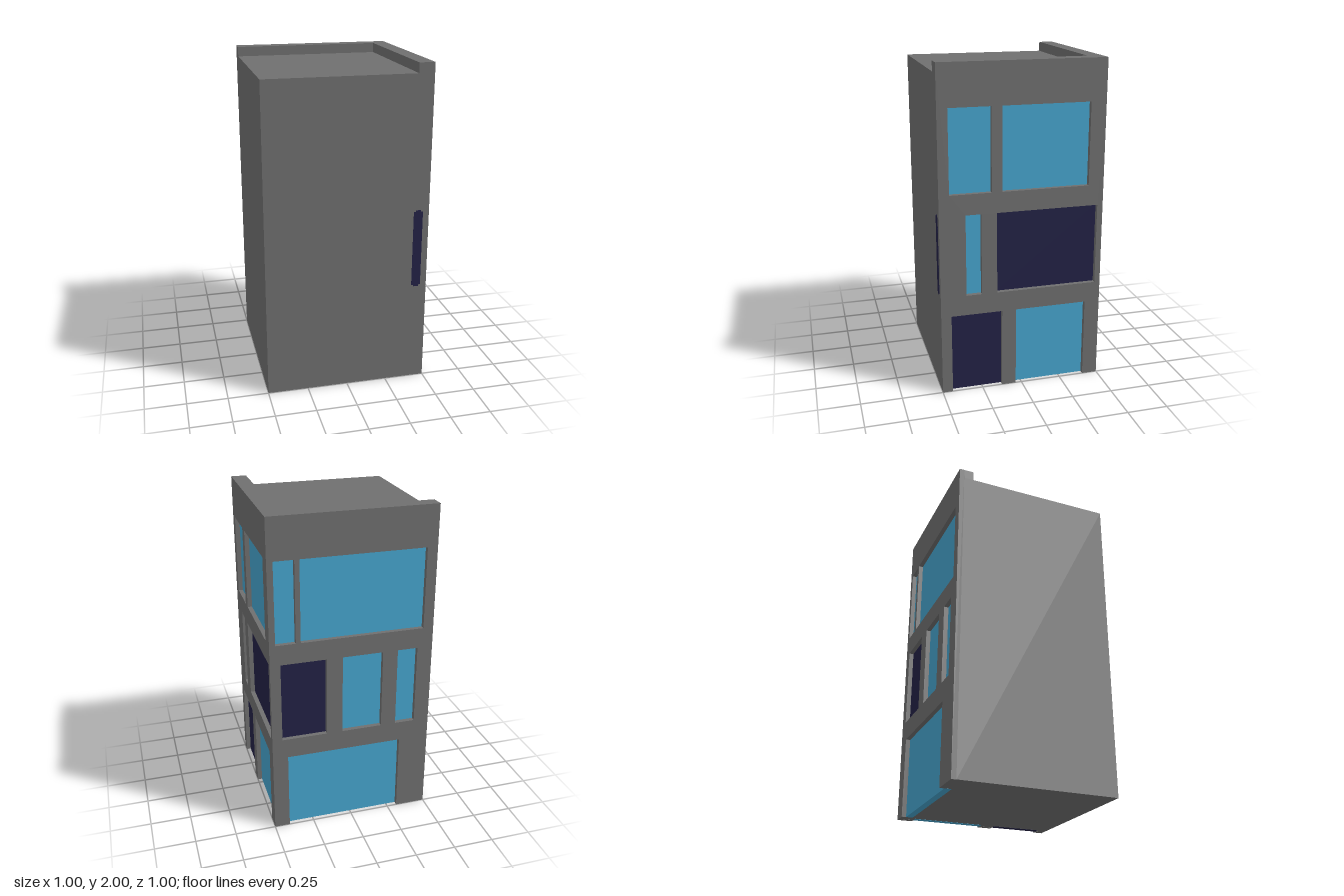
import * as THREE from 'three';

const RECESS = 0.03;         // depth of the window openings
const INNER = 0.5 - RECESS;  // plane of the glass
const ROOF = 1.94;

// Openings as [u0, u1, y0, y1, isDark]; u runs rightwards when facing the wall.
const RIGHT_WALL = [
  [-0.4375, -0.1875, 1.25, 1.75], [-0.125, 0.406, 1.25, 1.75],
  [-0.344, -0.25, 0.625, 1.125], [-0.156, 0.466, 0.625, 1.125, true],
  [-0.4375, -0.125, 0, 0.5, true], [-0.0375, 0.406, 0, 0.5],
];
const BACK_WALL = [
  [-0.464, -0.344, 1.25, 1.75], [-0.315, 0.4375, 1.25, 1.75],
  [-0.4375, -0.16, 0.625, 1.125, true], [-0.0625, 0.1875, 0.625, 1.125],
  [0.281, 0.406, 0.625, 1.125], [-0.406, 0.3125, 0, 0.5],
];

function makeMaterial(name, color) {
  const m = new THREE.MeshStandardMaterial({ color });
  m.name = name;
  return m;
}

export function createModel() {
  const wall = makeMaterial('grey wall', 0x707070);
  const glass = makeMaterial('blue glass', 0x47a6cf);
  const dark = makeMaterial('dark panel', 0x232246);
  const model = new THREE.Group();
  model.name = 'cornerBuilding';

  // Box given by its two extreme corners
  function block(parent, name, material, [x0, y0, z0], [x1, y1, z1]) {
    const mesh = new THREE.Mesh(new THREE.BoxGeometry(x1 - x0, y1 - y0, z1 - z0), material);
    mesh.position.set((x0 + x1) / 2, (y0 + y1) / 2, (z0 + z1) / 2);
    mesh.name = name;
    parent.add(mesh);
  }

  // Wall slab with cut openings and recessed panes; ground openings notch the lower edge
  function facade(name, uMin, uMax, openings) {
    const group = new THREE.Group();
    group.name = name;
    const shape = new THREE.Shape();
    shape.moveTo(uMin, 0);
    for (const [a, b, y0, y1] of openings) {
      if (y0 === 0) {
        shape.lineTo(a, 0);
        shape.lineTo(a, y1);
        shape.lineTo(b, y1);
        shape.lineTo(b, 0);
      } else {
        const hole = new THREE.Path();
        hole.moveTo(a, y0);
        hole.lineTo(a, y1);
        hole.lineTo(b, y1);
        hole.lineTo(b, y0);
        hole.closePath();
        shape.holes.push(hole);
      }
    }
    shape.lineTo(uMax, 0);
    shape.lineTo(uMax, 2);
    shape.lineTo(uMin, 2);
    shape.closePath();
    const slab = new THREE.Mesh(
      new THREE.ExtrudeGeometry(shape, { depth: RECESS, bevelEnabled: false }), wall);
    slab.name = name + 'Slab';
    group.add(slab);
    for (const [a, b, y0, y1, isDark] of openings) {
      block(group, isDark ? 'darkPanel' : 'window', isDark ? dark : glass,
        [a, y0, -0.04], [b, y1, 0.002]);
    }
    model.add(group);
    return group;
  }

  // Body, set a hair above the ground so the pane undersides show
  block(model, 'body', wall, [-0.5, 0.001, -INNER], [INNER, ROOF, 0.5]);

  // Two glazed walls
  const right = facade('rightWall', -0.5, 0.5, RIGHT_WALL);
  right.rotation.y = Math.PI / 2;
  right.position.x = INNER;
  const back = facade('backWall', -INNER, 0.5, BACK_WALL);
  back.rotation.y = Math.PI;
  back.position.z = -INNER;

  // Parapet thickening behind the two walls
  block(model, 'rightParapet', wall, [0.405, ROOF, -INNER], [INNER, 2, 0.5]);
  block(model, 'backParapet', wall, [-0.5, ROOF, -INNER], [0.405, 2, -0.41]);

  // Narrow dark strip on the front, with clipped corners
  block(model, 'frontStrip', dark, [0.405, 0.637, 0.497], [0.462, 1.113, 0.501]);
  block(model, 'frontStripCore', dark, [0.417, 0.627, 0.497], [0.45, 1.123, 0.5012]);

  return model;
}
